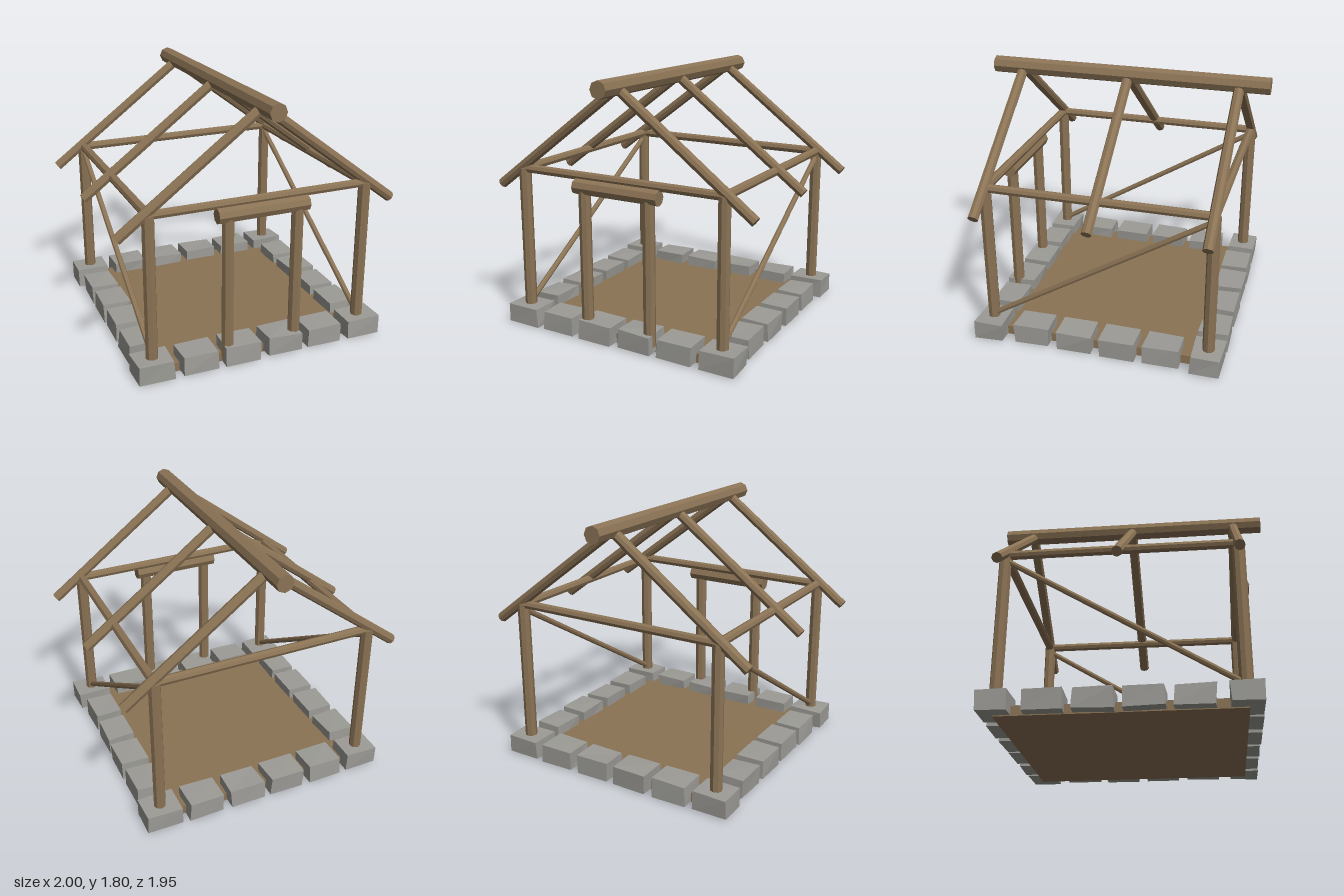
import * as THREE from 'three';

const wood = new THREE.MeshStandardMaterial({ color: 0x8b7355, flatShading: true });
wood.name = 'wood';
const stone = new THREE.MeshStandardMaterial({ color: 0x9c9b96, flatShading: true });
stone.name = 'stone';

// small seeded random in -1..1
let seed = 7;
function rand() {
  seed = (seed * 16807) % 2147483647;
  return (seed / 2147483647) * 2 - 1;
}

// eight-sided log between two points
function log(name, a, b, radius) {
  const from = new THREE.Vector3(...a), to = new THREE.Vector3(...b);
  const dir = to.clone().sub(from);
  const mesh = new THREE.Mesh(new THREE.CylinderGeometry(radius, radius, dir.length(), 8), wood);
  mesh.position.copy(from).add(to).multiplyScalar(0.5);
  mesh.quaternion.setFromUnitVectors(new THREE.Vector3(0, 1, 0), dir.normalize());
  mesh.name = name;
  return mesh;
}

// rough-cut block, each corner nudged a little
function block(x, z, w, d) {
  const geo = new THREE.BoxGeometry(w, 0.132, d);
  const pos = geo.attributes.position, nudges = {};
  for (let i = 0; i < pos.count; i++) {
    const c = [pos.getX(i), pos.getY(i), pos.getZ(i)];
    const key = c.map(Math.sign).join();
    nudges[key] ??= [rand() * 0.007, rand() * 0.005, rand() * 0.007];
    const n = nudges[key];
    pos.setXYZ(i, c[0] + n[0], c[1] + n[1], c[2] + n[2]);
  }
  geo.computeVertexNormals();
  const mesh = new THREE.Mesh(geo, stone);
  mesh.position.set(x, 0.073, z);
  mesh.name = 'foundationStone';
  return mesh;
}

export function createModel() {
  const model = new THREE.Group();
  model.name = 'timberFrameHut';

  // earth floor slab
  const floor = new THREE.Mesh(new THREE.BoxGeometry(1.56, 0.065, 1.56), wood);
  floor.position.y = 0.0325;
  floor.name = 'floor';
  model.add(floor);

  // ring of foundation stones
  const foundation = new THREE.Group();
  foundation.name = 'foundation';
  for (const s of [-1, 1]) {
    for (let i = 0; i < 6; i++) {
      const along = (i - 2.5) * 0.308;
      foundation.add(block(along, s * 0.768, 0.247, 0.2));
      if (i > 0 && i < 5) foundation.add(block(s * 0.768, along, 0.195, 0.25));
    }
  }
  model.add(foundation);

  const e = 0.77;
  for (const s of [-1, 1]) {
    // corner posts
    for (const t of [-1, 1]) model.add(log('cornerPost', [s * e, 0.08, t * e], [s * e, 1.135, t * e], 0.042));
    // wall beams
    model.add(log('sideBeam', [s * e, 1.132, -e], [s * e, 1.132, e], 0.031));
    model.add(log('endBeam', [-e, 1.132, s * e], [e, 1.132, s * e], 0.031));
    // diagonal side braces
    model.add(log('sideBrace', [s * e, 0.16, 0.76], [s * e, 1.09, -0.76], 0.02));
    // doorway posts
    model.add(log('doorPost', [s * 0.248, 0.05, 0.8], [s * 0.248, 1.04, 0.8], 0.042));
    // rafter pairs
    for (const z of [-e, 0, e]) model.add(log('rafter', [s * 0.977, 1.0, z], [0, 1.735, z], 0.036));
  }

  // door lintel and ridge pole
  model.add(log('doorLintel', [-0.323, 1.064, 0.795], [0.323, 1.064, 0.795], 0.053));
  model.add(log('ridgePole', [0, 1.743, -0.977], [0, 1.743, 0.977], 0.06));
  return model;
}
